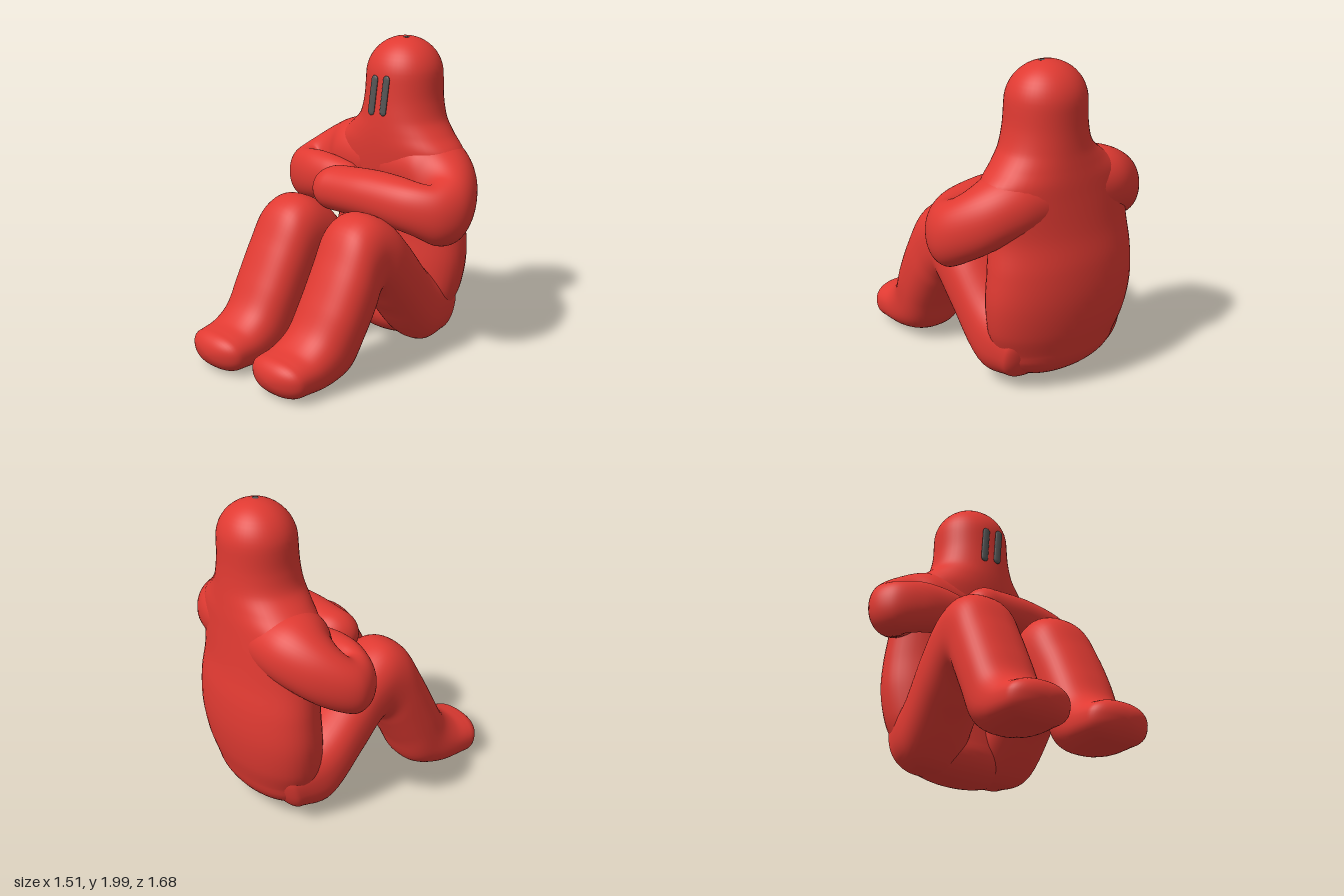
import * as THREE from 'three';

const red = new THREE.MeshStandardMaterial({ color: 0xe03a32 });
const grey = new THREE.MeshStandardMaterial({ color: 0x555555 });
const V = (x, y, z) => new THREE.Vector3(x, y, z);

// Smooth closed loft. Each section is [p, q, w]: two opposite surface points
// and the half-width along the side axis. Both ends get rounded caps.
function loft(sections, side, capStart, capEnd, power = 2) {
  const P = new THREE.CatmullRomCurve3(sections.map((s) => s[0]));
  const Q = new THREE.CatmullRomCurve3(sections.map((s) => s[1]));
  const W = new THREE.CatmullRomCurve3(sections.map((s, i) => V(s[2], i * 0.2, 0)));
  const at = (u) => {
    const p = P.getPoint(u), q = Q.getPoint(u);
    return { c: p.clone().add(q).multiplyScalar(0.5), a: p.clone().sub(q).multiplyScalar(0.5), w: W.getPoint(u).x };
  };
  const steps = 64, caps = 12, n = 48, rings = [];
  const cap = (u, v, length) => {
    const end = at(u), dir = end.c.clone().sub(at(v).c).normalize();
    return Array.from({ length: caps }, (_, i) => {
      const t = ((i + 1) / caps) * Math.PI / 2, k = Math.max(Math.cos(t), 0.002);
      return { c: end.c.clone().addScaledVector(dir, length * Math.sin(t)), a: end.a.clone().multiplyScalar(k), w: end.w * k };
    });
  };
  rings.push(...cap(0, 0.03, capStart).reverse());
  for (let i = 0; i <= steps; i++) rings.push(at(i / steps));
  rings.push(...cap(1, 0.97, capEnd));

  // Keep the faces pointing outwards whatever the direction of the path
  const m = caps + steps / 2;
  const forward = rings[m + 1].c.clone().sub(rings[m].c);
  const sign = side.clone().cross(forward).dot(rings[m].a) > 0 ? 1 : -1;

  const pos = [], index = [];
  const round = (v) => Math.sign(v) * Math.abs(v) ** (2 / power);
  rings.forEach((r, i) => {
    for (let j = 0; j < n; j++) {
      const t = (j / n) * Math.PI * 2;
      const v = r.c.clone().addScaledVector(r.a, round(Math.cos(t))).addScaledVector(side, sign * r.w * round(Math.sin(t)));
      pos.push(v.x, v.y, v.z);
      if (i === rings.length - 1) continue;
      const k = (j + 1) % n, a = i * n + j, b = i * n + k;
      index.push(a, b, a + n, b, b + n, a + n);
    }
  });
  const g = new THREE.BufferGeometry();
  g.setAttribute('position', new THREE.Float32BufferAttribute(pos, 3));
  g.setIndex(index);
  g.computeVertexNormals();
  return g;
}

export function createModel() {
  const model = new THREE.Group();
  const add = (name, geometry, material = red) => {
    const mesh = new THREE.Mesh(geometry, material);
    mesh.name = name;
    model.add(mesh);
    return mesh;
  };

  // Torso and head in one piece: y, centre x, half-width, front z, back z
  const body = [
    [0.25, 0, 0.43, -0.28, -0.775], [0.4, 0, 0.49, -0.29, -0.815], [0.6, 0, 0.52, -0.3, -0.84],
    [0.8, 0, 0.51, -0.31, -0.835], [1.0, 0, 0.49, -0.295, -0.805], [1.2, 0.02, 0.51, -0.27, -0.785],
    [1.32, 0.04, 0.475, -0.26, -0.775], [1.41, 0.055, 0.375, -0.258, -0.765], [1.5, 0.07, 0.292, -0.262, -0.755],
    [1.62, 0.073, 0.258, -0.272, -0.747], [1.76, 0.073, 0.248, -0.279, -0.746],
  ];
  add('bodyAndHead', loft(body.map(([y, x, w, f, b]) => [V(x, y, f), V(x, y, b), w]), V(1, 0, 0), 0.22, 0.24, 2.06));

  // Folded arms: outer x z, inner x z, centre y, half-height
  const arm = (name, rows, tip) => add(name,
    loft(rows.map(([ox, oz, ix, iz, y, h]) => [V(ox, y, oz), V(ix, y, iz), h]), V(0, 1, 0), 0.1, tip, 2.1));
  arm('leftArm', [
    [0.1, -0.77, 0.1, -0.27, 1.2, 0.22], [0.4, -0.735, 0.33, -0.275, 1.185, 0.22], [0.62, -0.6, 0.41, -0.28, 1.1, 0.22],
    [0.755, -0.36, 0.45, -0.28, 1.01, 0.21], [0.71, -0.19, 0.46, -0.28, 1.0, 0.19], [0.53, -0.05, 0.43, -0.285, 1.035, 0.165],
    [0.2, 0.03, 0.2, -0.28, 1.065, 0.155], [-0.1, 0.055, -0.08, -0.24, 1.06, 0.145],
  ], 0.16);
  arm('rightArm', [
    [-0.1, -0.77, -0.1, -0.27, 1.2, 0.22], [-0.4, -0.735, -0.33, -0.285, 1.185, 0.22], [-0.62, -0.59, -0.42, -0.32, 1.11, 0.21],
    [-0.757, -0.36, -0.47, -0.33, 1.03, 0.18], [-0.69, -0.215, -0.48, -0.34, 1.025, 0.17], [-0.5, -0.14, -0.44, -0.35, 1.045, 0.165],
    [-0.33, -0.13, -0.31, -0.35, 1.055, 0.15], [-0.18, -0.15, -0.18, -0.34, 1.05, 0.135],
  ], 0.12);

  // Bent legs from the seat to the toes: upper z y, under z y, half-width, left x, right x
  const leg = [
    [-0.66, 0.46, -0.54, 0.07, 0.2, 0.25, -0.25], [-0.43, 0.55, -0.37, 0.07, 0.225, 0.27, -0.27],
    [-0.2, 0.81, -0.12, 0.335, 0.225, 0.285, -0.285], [-0.05, 0.96, 0.0, 0.48, 0.225, 0.29, -0.285],
    [0.11, 1.02, 0.04, 0.51, 0.225, 0.285, -0.285], [0.25, 0.96, 0.07, 0.49, 0.228, 0.29, -0.285],
    [0.37, 0.76, 0.11, 0.43, 0.23, 0.3, -0.29], [0.48, 0.54, 0.2, 0.27, 0.23, 0.295, -0.295],
    [0.57, 0.37, 0.3, 0.09, 0.225, 0.275, -0.3], [0.66, 0.29, 0.47, 0.02, 0.222, 0.26, -0.305],
    [0.75, 0.26, 0.7, 0.01, 0.215, 0.255, -0.305],
  ];
  for (const [name, column] of [['leftLeg', 5], ['rightLeg', 6]]) {
    add(name, loft(leg.map((s) => [V(s[column], s[1], s[0]), V(s[column], s[3], s[2]), s[4]]),
      V(1, 0, 0), 0.08, 0.115, 2.35));
  }

  // Slanted eye slits, almost flush with the face
  [0.032, 0.132].forEach((x, i) => {
    const eye = add(i ? 'leftEye' : 'rightEye', new THREE.CapsuleGeometry(0.026, 0.205, 8, 16), grey);
    eye.position.set(x, 1.65 + i * 0.01, -0.269);
    eye.rotation.set(-0.045, 0, -0.1);
    eye.scale.z = 0.4;
  });

  // Small spot on the crown
  const spot = add('crownSpot', new THREE.SphereGeometry(0.02, 16, 8), grey);
  spot.position.set(0.095, 1.997, -0.5);
  spot.scale.y = 0.2;

  return model;
}
